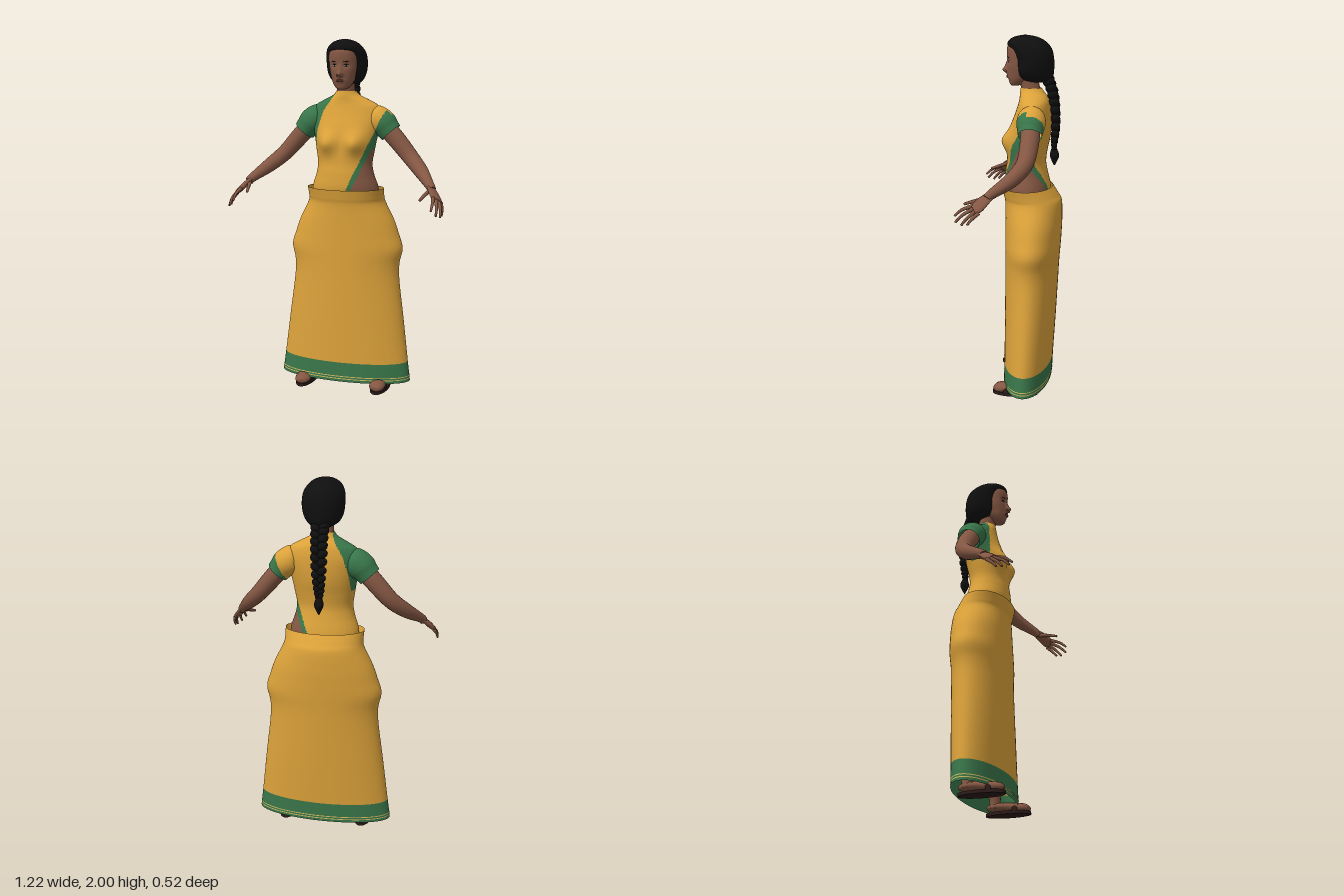
import * as THREE from 'three';

const material = (name, color, double = false) => {
  const m = new THREE.MeshStandardMaterial({ color });
  m.name = name;
  if (double) m.side = THREE.DoubleSide;
  return m;
};

// Smoothly resample rows of numbers into n + 1 rows (Catmull-Rom)
function sample(rows, n) {
  const last = rows.length - 1;
  return Array.from({ length: n + 1 }, (_, i) => {
    const u = (i / n) * last, k = Math.min(Math.floor(u), last - 1), t = u - k;
    const [a, b, c, d] = [k - 1, k, k + 1, k + 2].map((q) => rows[Math.min(Math.max(q, 0), last)]);
    return b.map((p, j) => p + 0.5 * t * (c[j] - a[j] + t * (2 * a[j] - 5 * p + 4 * c[j] - d[j]
      + t * (3 * (p - c[j]) + d[j] - a[j]))));
  });
}

// Straight interpolation in a list of [key, value]
function table(list, key) {
  const i = Math.max(1, list.findIndex((r) => r[0] >= key));
  const k = key > list[list.length - 1][0] ? list.length - 1 : i;
  const [a, b] = [list[k - 1], list[k]];
  return THREE.MathUtils.lerp(a[1], b[1], THREE.MathUtils.clamp((key - a[0]) / (b[0] - a[0]), 0, 1));
}

// Skin a stack of rings; pick(x, y, z) chooses a material for each face
function loft(name, rings, mats, { caps = true, pick = () => 0 } = {}) {
  const list = [].concat(mats), buckets = list.map(() => []);
  const m = rings[0].length, pts = rings.flat();
  const tri = (...f) => {
    const c = new THREE.Vector3();
    f.forEach((q) => c.add(pts[q]));
    c.divideScalar(3);
    buckets[pick(c.x, c.y, c.z)].push(...f);
  };
  for (let i = 0; i < rings.length - 1; i++) for (let j = 0; j < m; j++) {
    const a = i * m + j, b = i * m + (j + 1) % m;
    tri(a, b, b + m);
    tri(a, b + m, a + m);
  }
  if (caps) [0, rings.length - 1].forEach((r) => {
    const c = rings[r].reduce((s, p) => s.add(p), new THREE.Vector3()).divideScalar(m);
    const id = pts.push(c) - 1;
    for (let j = 0; j < m; j++) {
      const a = r * m + j, b = r * m + (j + 1) % m;
      r ? tri(id, a, b) : tri(id, b, a);
    }
  });
  const geo = new THREE.BufferGeometry().setFromPoints(pts);
  geo.setIndex(buckets.flat());
  let start = 0;
  buckets.forEach((b, i) => { geo.addGroup(start, b.length, i); start += b.length; });
  geo.computeVertexNormals();
  const mesh = new THREE.Mesh(geo, list.length > 1 ? list : list[0]);
  mesh.name = name;
  return mesh;
}

// Upright oval rings from rows of [y, half width, front z, back z]
const ovals = (rows, n, sides, bump = () => 0) => sample(rows, n).map(([y, rx, zf, zb]) =>
  Array.from({ length: sides }, (_, j) => {
    const a = (j / sides) * Math.PI * 2, x = rx * Math.sin(a), c = Math.cos(a);
    return new THREE.Vector3(x, y, (zf + zb) / 2 + c * (zf - zb) / 2 + (c > 0 ? bump(x, y) * Math.min(1, c * 3) : 0));
  }));

// Limb through rows of [x, y, z, radius]; flat squashes it along ref
function limb(name, rows, mats, { n = 20, sides = 16, ref = [0, 0, 1], flat = 1, ...opts } = {}) {
  const path = sample(rows, n).map((r) => ({ p: new THREE.Vector3(...r), r: r[3] }));
  const rings = path.map(({ p, r }, i) => {
    const t = path[Math.min(i + 1, n)].p.clone().sub(path[Math.max(i - 1, 0)].p).normalize();
    const s = t.clone().cross(new THREE.Vector3(...ref)).normalize(), f = s.clone().cross(t);
    return Array.from({ length: sides }, (_, j) => {
      const a = (j / sides) * Math.PI * 2;
      return p.clone().addScaledVector(s, r * Math.sin(a)).addScaledVector(f, r * flat * Math.cos(a));
    });
  });
  return loft(name, rings, mats, opts);
}

function blob(name, mat, pos, scale, rot = [0, 0, 0]) {
  const mesh = new THREE.Mesh(new THREE.SphereGeometry(1, 14, 10), mat);
  mesh.name = name;
  mesh.position.set(...pos);
  mesh.scale.set(...scale);
  mesh.rotation.set(...rot);
  return mesh;
}

const gauss = (x, y, sx, sy) => Math.exp(-((x / sx) ** 2) - (y / sy) ** 2);

export function createModel() {
  const model = new THREE.Group();
  const yellow = material('yellow cloth', 0xdca23a, true);
  const green = material('green cloth', 0x39764a, true);
  const gold = material('gold trim', 0xdcc060, true);
  const skin = material('skin', 0x845743);
  const lipTone = material('lips', 0x6e4336);
  const hair = material('black hair', 0x0f0f0f);
  const white = material('eye white', 0xbfb2a6);
  const sole = material('dark leather', 0x2b1b19);

  // Long skirt with a green hem and two gold lines
  const skirtRows = [[0.155, 0.375, 0.064, -0.213], [0.4, 0.345, 0.062, -0.228], [0.63, 0.315, 0.06, -0.24],
    [0.73, 0.313, 0.06, -0.245], [0.82, 0.33, 0.06, -0.252], [0.9, 0.307, 0.06, -0.257], [0.98, 0.278, 0.06, -0.26],
    [1.08, 0.228, 0.062, -0.257], [1.12, 0.221, 0.07, -0.237], [1.17, 0.223, 0.08, -0.205]];
  model.add(loft('skirt', ovals(skirtRows, 60, 72), yellow, { caps: false }));
  model.add(loft('hem', ovals([[0.04, 0.39, 0.066, -0.208], skirtRows[0]], 4, 72), green, { caps: false }));
  for (const y of [0.056, 0.07]) {
    const w = 0.391 - (y - 0.04) * 0.13;
    model.add(loft('hemLine', ovals([[y, w, 0.068, -0.21], [y + 0.005, w, 0.068, -0.21]], 1, 72), gold, { caps: false }));
  }

  // Torso: yellow drape, green blouse, bare left waist
  const rightEdge = [[1.4, -0.157], [1.5, -0.148], [1.6, -0.12], [1.7, -0.055]];
  const leftEdge = [[1.1, 0.005], [1.17, 0.035], [1.37, 0.125], [1.5, 0.18], [1.62, 0.24]];
  const drape = (x, y, z) => {
    if (y > 1.4 && x < table(rightEdge, y)) return 1;
    const over = x - table(leftEdge, y) - (z < -0.08 ? 0.04 : 0);
    if (over < 0) return 0;
    return over < 0.028 || y > 1.39 ? 1 : 2;
  };
  const torsoRows = [[1.08, 0.195, 0.04, -0.2], [1.17, 0.192, 0.062, -0.193], [1.25, 0.167, 0.06, -0.175],
    [1.31, 0.158, 0.052, -0.166], [1.38, 0.168, 0.047, -0.175], [1.45, 0.18, 0.042, -0.19], [1.52, 0.195, 0.026, -0.196],
    [1.58, 0.203, 0.004, -0.195], [1.63, 0.185, -0.012, -0.187], [1.66, 0.138, -0.018, -0.177],
    [1.69, 0.078, -0.02, -0.156], [1.715, 0.055, -0.024, -0.137]];
  const bust = (x, y) => 0.042 * gauss(Math.abs(x) - 0.085, y - 1.43, 0.055, 0.06);
  model.add(loft('torso', ovals(torsoRows, 110, 128, bust), [yellow, green, skin], { caps: false, pick: drape }));

  // Arms, sleeves and hands
  const sleeveRows = [[0.145, 1.57, -0.1, 0.06], [0.17, 1.562, -0.1, 0.076], [0.21, 1.535, -0.1, 0.077],
    [0.235, 1.508, -0.1, 0.069], [0.256, 1.484, -0.1, 0.064]];
  const armRows = [[0.22, 1.52, -0.1, 0.052], [0.29, 1.445, -0.1, 0.051], [0.37, 1.355, -0.085, 0.046],
    [0.445, 1.285, -0.025, 0.04], [0.515, 1.222, 0.07, 0.026], [0.53, 1.202, 0.09, 0.024]];
  const fingers = [
    [[0.552, 1.168, 0.16], [0.56, 1.148, 0.215], [0.56, 1.115, 0.255]],
    [[0.567, 1.157, 0.155], [0.582, 1.125, 0.21], [0.585, 1.088, 0.247]],
    [[0.58, 1.148, 0.143], [0.598, 1.112, 0.185], [0.602, 1.076, 0.214]],
    [[0.588, 1.14, 0.125], [0.602, 1.108, 0.16], [0.604, 1.08, 0.183]],
    [[0.525, 1.2, 0.095], [0.508, 1.185, 0.15], [0.492, 1.163, 0.215]]];
  for (const side of [1, -1]) {
    const arm = new THREE.Group();
    arm.name = side > 0 ? 'leftArm' : 'rightArm';
    const pick = (x, y, z) => (side > 0 && drape(x, y, z) === 0 ? 1 : 0);
    arm.add(limb('sleeve', sleeveRows, [green, yellow], { n: 36, sides: 48, caps: false, pick }));
    arm.add(limb('arm', armRows, skin, { n: 30, sides: 20 }));
    arm.add(limb('palm', [[0.515, 1.222, 0.07, 0.024], [0.54, 1.193, 0.105, 0.034], [0.565, 1.162, 0.137, 0.037],
      [0.573, 1.152, 0.155, 0.028]], skin, { n: 10, ref: [0.64, 0.76, 0.14], flat: 0.42 }));
    fingers.forEach((f, i) => {
      const r = i === 4 ? 0.013 : 0.0105;
      const rows = f.map((p, k) => [...p, r * (1 - k * 0.22)]);
      arm.add(limb(i === 4 ? 'thumb' : 'finger', rows, skin, { n: 8, sides: 8, ref: [0.64, 0.76, 0.14] }));
    });
    arm.scale.x = side;
    model.add(arm);

    // Leg, foot and sandal
    const leg = new THREE.Group();
    leg.name = side > 0 ? 'leftLeg' : 'rightLeg';
    leg.add(limb('leg', [[0.1, 1.05, -0.08, 0.09], [0.14, 0.75, -0.08, 0.085], [0.18, 0.45, -0.08, 0.058],
      [0.2, 0.3, -0.09, 0.055], [0.222, 0.1, -0.095, 0.032], [0.225, 0.04, -0.095, 0.034]], skin));
    leg.add(limb('foot', [[0.225, 0.045, -0.138, 0.018], [0.225, 0.05, -0.11, 0.033], [0.225, 0.05, -0.04, 0.038],
      [0.226, 0.038, 0.04, 0.045], [0.224, 0.033, 0.08, 0.041], [0.22, 0.03, 0.1, 0.02]], skin, { ref: [0, 1, 0], flat: 0.62 }));
    const sandal = new THREE.Mesh(new THREE.CylinderGeometry(1, 1, 0.018, 32), sole);
    sandal.name = 'sandalSole';
    sandal.scale.set(0.053, 1, 0.128);
    sandal.position.set(0.226, 0.009, -0.018);
    const strap = new THREE.Mesh(new THREE.TorusGeometry(0.046, 0.006, 8, 20, Math.PI), sole);
    strap.name = 'sandalStrap';
    strap.scale.set(1, 1, 2.5);
    strap.position.set(0.226, 0.016, 0.03);
    leg.add(sandal, strap);
    leg.scale.x = side;
    model.add(leg);
  }

  // Neck and head with a shaped nose, brow and mouth
  model.add(limb('neck', [[0, 1.64, -0.085, 0.06], [0, 1.71, -0.078, 0.052], [0, 1.78, -0.062, 0.052]], skin));
  const headRows = [[1.726, 0.018, 0.026, -0.01], [1.735, 0.036, 0.036, -0.035], [1.76, 0.055, 0.043, -0.07],
    [1.79, 0.067, 0.048, -0.1], [1.83, 0.076, 0.05, -0.1], [1.87, 0.08, 0.05, -0.1], [1.91, 0.08, 0.053, -0.1],
    [1.94, 0.074, 0.049, -0.1], [1.968, 0.05, 0.025, -0.1]];
  const relief = (x, y) => 0.024 * gauss(x, y - 1.81, 0.016, 0.016) + 0.012 * gauss(x, y - 1.835, 0.011, 0.025)
    + 0.007 * gauss(x, y - 1.776, 0.024, 0.012) - 0.007 * gauss(Math.abs(x) - 0.033, y - 1.857, 0.018, 0.012);
  model.add(loft('head', ovals(headRows, 64, 80, relief), skin));
  const faceZ = (x, y) => {
    const col = (k) => table(headRows.map((r) => [r[0], r[k]]), y);
    const mid = (col(2) + col(3)) / 2;
    return mid + (col(2) - mid) * Math.sqrt(1 - (x / col(1)) ** 2) + relief(x, y);
  };
  for (const s of [1, -1]) {
    const x = 0.033 * s, z = faceZ(0.033, 1.857);
    model.add(blob('eyeWhite', white, [x, 1.857, z], [0.013, 0.005, 0.003], [0, s * 0.4, 0]));
    model.add(blob('iris', hair, [x, 1.857, z + 0.001], [0.0055, 0.0055, 0.0035], [0, s * 0.4, 0]));
    model.add(blob('lashLine', hair, [x, 1.863, z + 0.001], [0.015, 0.002, 0.003], [0, s * 0.4, 0]));
    model.add(blob('eyebrow', hair, [x * 1.05, 1.88, faceZ(0.035, 1.88)], [0.018, 0.0025, 0.002], [0, s * 0.4, s * -0.12]));
    model.add(blob('nostrilWing', skin, [0.011 * s, 1.806, 0.058], [0.008, 0.007, 0.01]));
  }
  for (const y of [1.78, 1.772]) model.add(blob('lip', lipTone, [0, y, faceZ(0, y) - 0.001], [0.021, 0.0042, 0.004]));

  // Hair swept back over the ears
  const hairRows = [[1.745, 0.03, -0.06, -0.185], [1.755, 0.062, -0.03, -0.195], [1.78, 0.092, 0, -0.203],
    [1.82, 0.11, 0.01, -0.207], [1.87, 0.116, 0.014, -0.206], [1.92, 0.112, 0.034, -0.196], [1.953, 0.097, 0.05, -0.174],
    [1.977, 0.074, 0.036, -0.143], [1.992, 0.046, 0.006, -0.105], [2, 0.012, -0.035, -0.06]];
  model.add(loft('hair', ovals(hairRows, 45, 56), hair));

  // Braid hanging down the back: overlapping tilted strands and a tassel
  const braid = new THREE.Group();
  braid.name = 'braid';
  const path = sample([[0, 1.76, -0.175, 0.045], [0, 1.69, -0.2, 0.042], [0, 1.6, -0.213, 0.04],
    [0, 1.5, -0.218, 0.035], [0, 1.42, -0.212, 0.027], [0, 1.375, -0.21, 0.018]], 22);
  path.forEach(([, y, z, r], i) => {
    const s = i % 2 ? 1 : -1;
    braid.add(blob('strand', hair, [s * r * 0.45, y, z], [r * 0.75, r * 0.62, r * 0.75], [0, 0, s * 0.6]));
  });
  braid.add(limb('tassel', [[0, 1.385, -0.21, 0.013], [0, 1.345, -0.213, 0.026], [0, 1.32, -0.213, 0.02],
    [0, 1.285, -0.213, 0.003]], hair, { n: 12, sides: 10 }));
  model.add(braid);
  return model;
}
